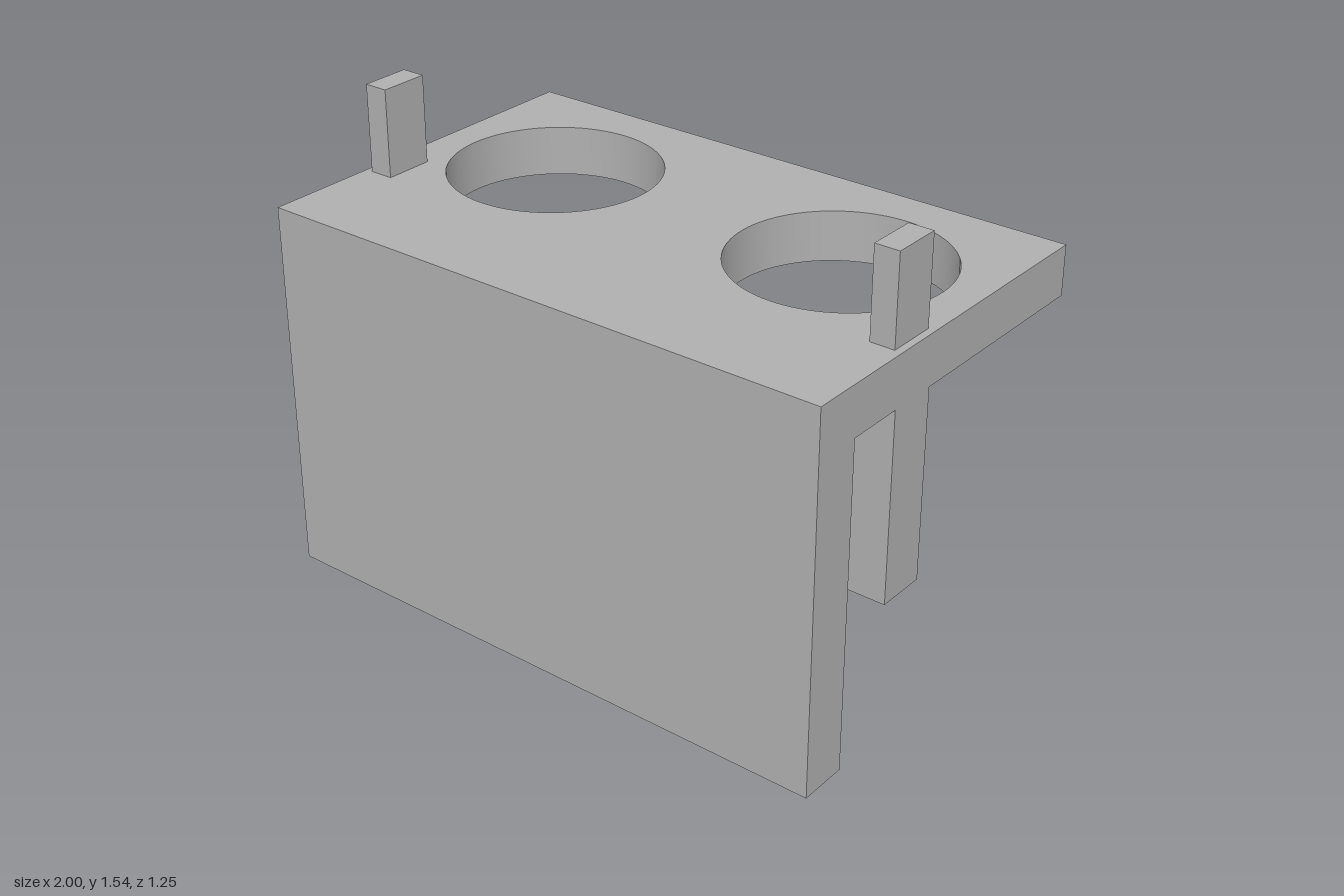
import * as THREE from 'three';
import { toCreasedNormals } from 'three/addons/utils/BufferGeometryUtils.js';

export function createModel() {
  const model = new THREE.Group();
  model.name = 'twoHoleHangingRack';
  const grey = new THREE.MeshStandardMaterial({ color: 0xb0b0b0 });
  grey.name = 'plain grey';

  const DEPTH = 0.624, PLATE_BOTTOM = 1.085, PLATE_TOP = 1.25;

  function add(name, geometry) {
    const mesh = new THREE.Mesh(geometry, grey);
    mesh.name = name;
    model.add(mesh);
  }

  // Box given by its extents on each axis
  function block(name, [x0, x1], [y0, y1], [z0, z1]) {
    const geometry = new THREE.BoxGeometry(x1 - x0, y1 - y0, z1 - z0);
    geometry.translate((x0 + x1) / 2, (y0 + y1) / 2, (z0 + z1) / 2);
    add(name, geometry);
  }

  // Top plate with two round through-holes
  const outline = new THREE.Shape([
    new THREE.Vector2(-1, -DEPTH), new THREE.Vector2(1, -DEPTH),
    new THREE.Vector2(1, DEPTH), new THREE.Vector2(-1, DEPTH),
  ]);
  for (const side of [-1, 1]) {
    outline.holes.push(new THREE.Path().absarc(side * 0.543, 0.13, 0.344, 0, Math.PI * 2, true));
  }
  const plate = new THREE.ExtrudeGeometry(outline, {
    depth: PLATE_TOP - PLATE_BOTTOM, bevelEnabled: false, curveSegments: 64,
  });
  plate.rotateX(-Math.PI / 2);
  plate.translate(0, PLATE_BOTTOM, 0);
  add('topPlate', toCreasedNormals(plate, 0.6));

  // Walls hanging below the plate
  block('frontWall', [-1, 1], [0, PLATE_BOTTOM], [0.46, DEPTH]);
  block('innerWall', [-1, 1], [0.46, PLATE_BOTTOM], [0.1, 0.268]);

  // Upright pegs near both ends
  block('leftPeg', [0.895, 0.976], [PLATE_TOP, 1.54], [0.083, 0.248]);
  block('rightPeg', [-0.976, -0.895], [PLATE_TOP, 1.54], [0.083, 0.248]);

  return model;
}
